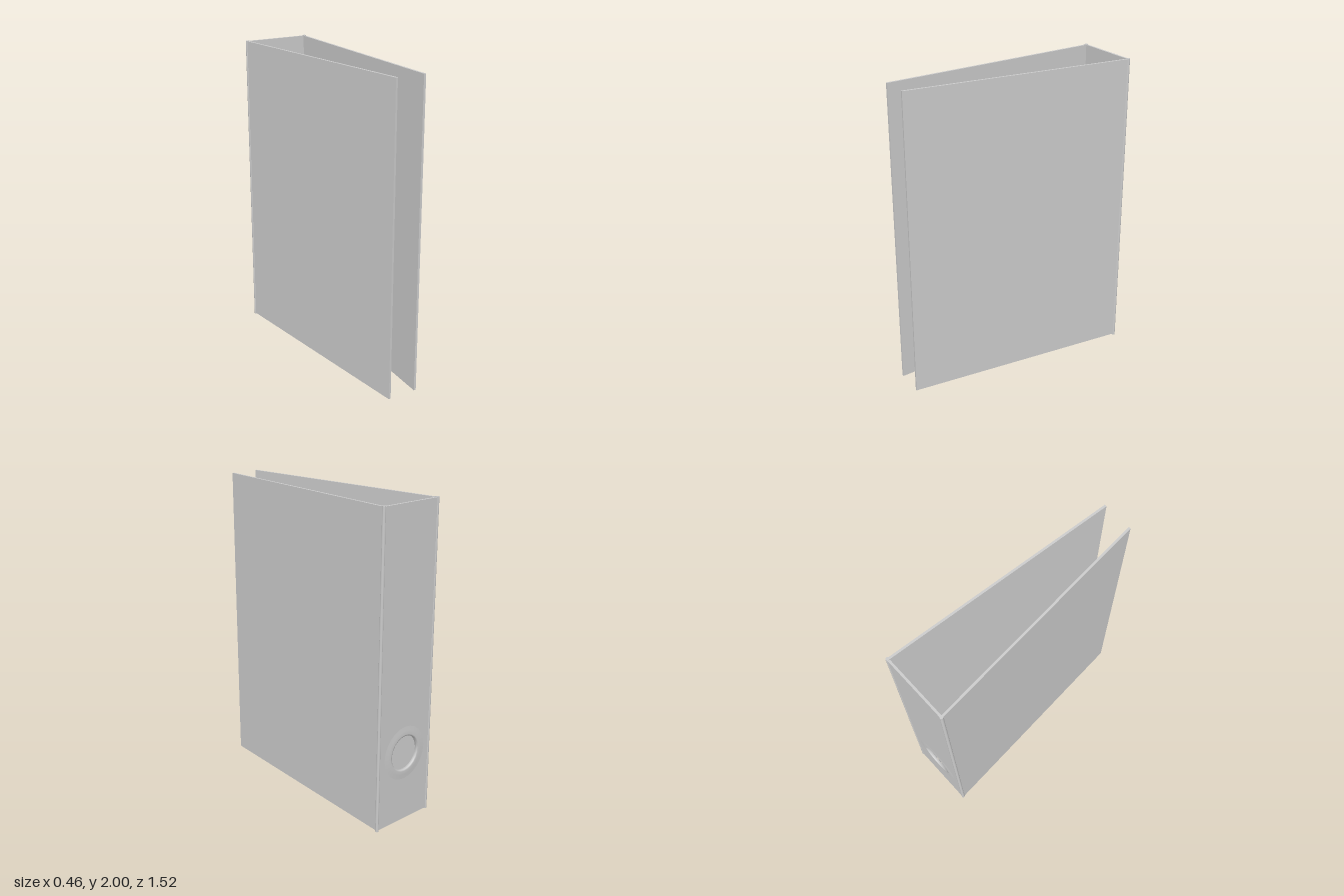
import * as THREE from 'three';

const material = new THREE.MeshStandardMaterial({ color: 0xcccccc });
const BOTTOM = 0.007, TOP = 1.997;      // cover boards
const SPINE_Z = -0.748, BOARD = 0.014;
const HOLE_Y = 0.46, HOLE_R = 0.112;

function addMesh(group, name, geometry) {
  const mesh = new THREE.Mesh(geometry, material);
  mesh.name = name;
  group.add(mesh);
  return mesh;
}

export function createModel() {
  const model = new THREE.Group();
  model.name = 'ringBinder';

  // Spine board with the finger hole
  const outline = new THREE.Shape();
  outline.moveTo(-0.218, BOTTOM);
  outline.lineTo(0.218, BOTTOM);
  outline.lineTo(0.218, TOP);
  outline.lineTo(-0.218, TOP);
  outline.closePath();
  const hole = new THREE.Path();
  hole.absarc(0, HOLE_Y, HOLE_R, 0, Math.PI * 2, true);
  outline.holes.push(hole);
  const spine = new THREE.ExtrudeGeometry(outline, {
    depth: BOARD, bevelEnabled: false, curveSegments: 24,
  });
  spine.translate(0, 0, SPINE_Z - BOARD / 2);
  addMesh(model, 'spine', spine);

  // Slightly raised collar around the hole, on both faces of the spine
  const profile = [
    [0.18, -0.0065], [0.145, -0.009], [0.122, -0.0115], [HOLE_R, -0.0085],
    [HOLE_R, 0.0085], [0.122, 0.0115], [0.145, 0.009], [0.18, 0.0065],
  ].map(([r, h]) => new THREE.Vector2(r, h));
  const collar = new THREE.LatheGeometry(profile, 24);
  collar.rotateX(Math.PI / 2);
  const ring = addMesh(model, 'holeCollar', collar);
  ring.material = material.clone();
  ring.material.side = THREE.DoubleSide;
  ring.position.set(0, HOLE_Y, SPINE_Z);

  // Covers taper towards the open front edge; rounded folds join them to the spine
  for (const side of [1, -1]) {
    const label = side > 0 ? 'left' : 'right';
    const back = new THREE.Vector2(side * 0.218, SPINE_Z);
    const front = new THREE.Vector2(side * 0.096, 0.757);
    const run = front.clone().sub(back);

    const cover = addMesh(model, label + 'Cover',
      new THREE.BoxGeometry(BOARD, TOP - BOTTOM, run.length()));
    cover.position.set((back.x + front.x) / 2, (TOP + BOTTOM) / 2, (back.y + front.y) / 2);
    cover.rotation.y = Math.atan2(run.x, run.y);

    const fold = addMesh(model, label + 'Fold', new THREE.CylinderGeometry(0.011, 0.011, 2, 12));
    fold.position.set(side * 0.219, 1, SPINE_Z);
  }

  return model;
}
